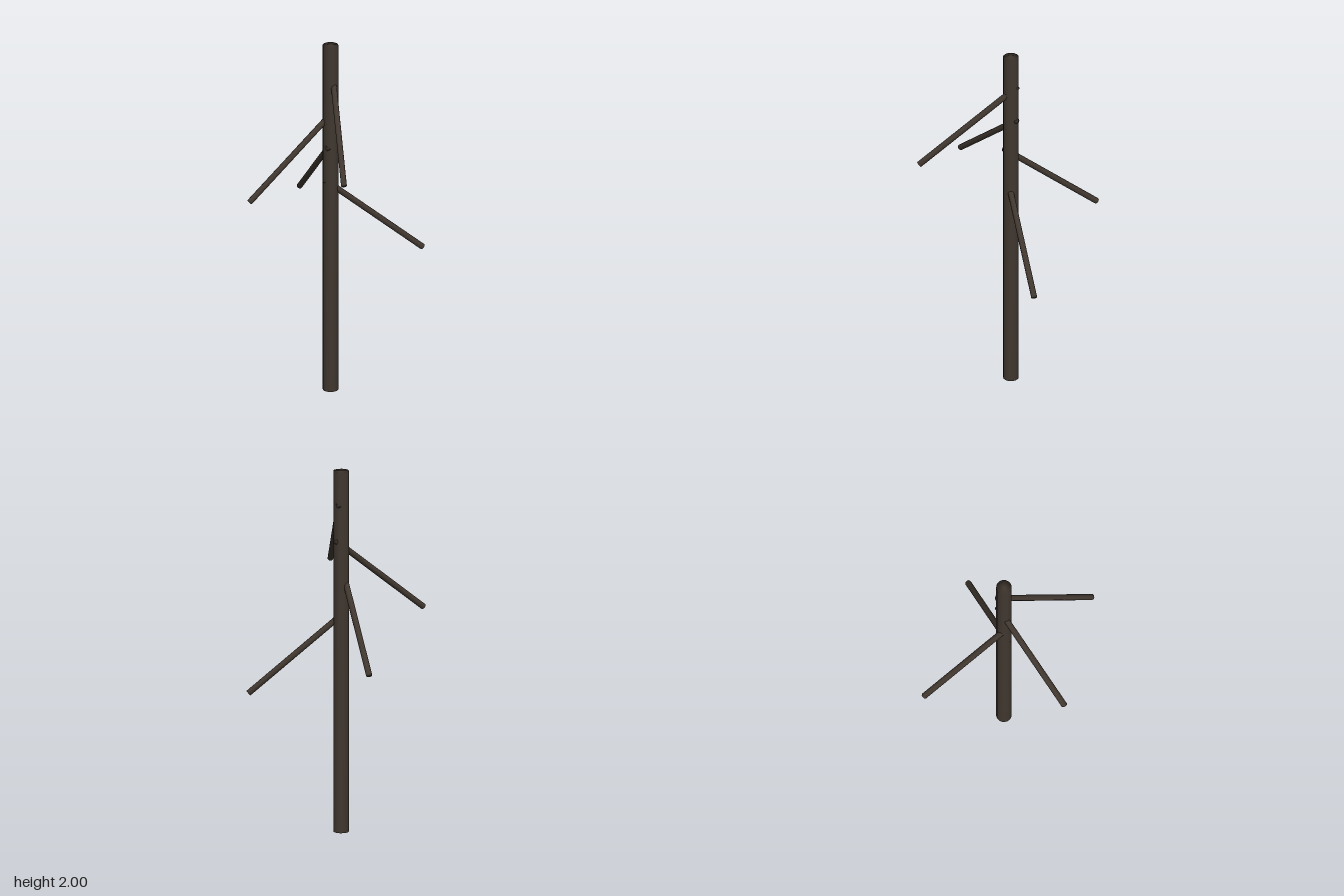
import * as THREE from 'three';
import { mergeVertices } from 'three/addons/utils/BufferGeometryUtils.js';

const bark = new THREE.MeshStandardMaterial({ color: 0x40372f });

// Straight rod between two points, shaded smoothly across its rims
function rod(name, from, to, radius, sides) {
  const a = new THREE.Vector3(...from);
  const b = new THREE.Vector3(...to);
  const axis = b.clone().sub(a);
  let geometry = new THREE.CylinderGeometry(radius, radius, axis.length(), sides);
  geometry.deleteAttribute('normal');
  geometry.deleteAttribute('uv');
  geometry = mergeVertices(geometry);
  geometry.computeVertexNormals();
  const mesh = new THREE.Mesh(geometry, bark);
  mesh.name = name;
  mesh.position.copy(a).add(b).multiplyScalar(0.5);
  mesh.quaternion.setFromUnitVectors(new THREE.Vector3(0, 1, 0), axis.normalize());
  return mesh;
}

export function createModel() {
  const group = new THREE.Group();
  group.name = 'bareTree';

  group.add(rod('trunk', [-0.038, 0, -0.018], [-0.038, 2, -0.018], 0.042, 16));

  // Drooping branches: inner end just through the trunk, then the tip
  const branches = [
    [[-0.064, 1.22, 0.0], [0.445, 0.787, -0.165]],
    [[-0.046, 1.42, 0.02], [-0.25, 0.987, -0.47]],
    [[-0.01, 1.62, -0.05], [-0.446, 1.187, 0.27]],
    [[-0.031, 1.82, -0.055], [0.084, 1.387, 0.47]],
  ];
  branches.forEach(([inner, tip], i) => {
    group.add(rod(`branch${i + 1}`, inner, tip, 0.0165, 8));
  });

  return group;
}
